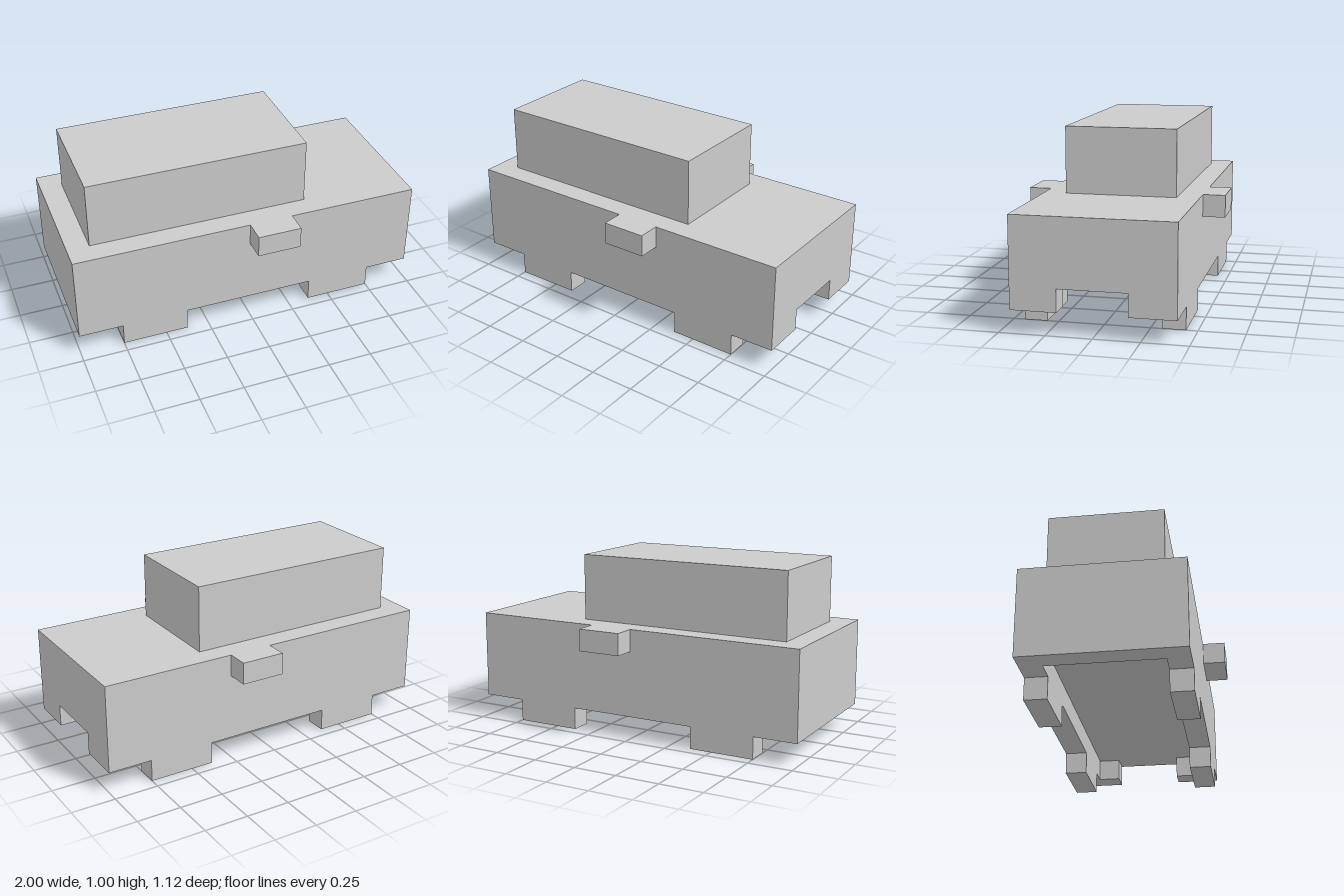
import * as THREE from 'three';

const U = 1 / 16; // the model sits on a grid of sixteenths

export function createModel() {
  const model = new THREE.Group();
  model.name = 'blockyCar';
  const material = new THREE.MeshStandardMaterial({ color: 0xcccccc, flatShading: true });

  const add = (name, geometry) => {
    const mesh = new THREE.Mesh(geometry, material);
    mesh.name = name;
    model.add(mesh);
    return mesh;
  };

  // Box from its min and max corners, in grid steps
  const box = (name, [x0, y0, z0], [x1, y1, z1]) => {
    const geometry = new THREE.BoxGeometry((x1 - x0) * U, (y1 - y0) * U, (z1 - z0) * U);
    geometry.translate((x0 + x1) / 2 * U, (y0 + y1) / 2 * U, (z0 + z1) / 2 * U);
    return add(name, geometry);
  };

  box('body', [-16, 4, -7], [16, 10, 7]);
  box('cabin', [-14, 10, -5], [6, 16, 5]);

  // Skirt around the hollow underside, with a gap in the +x end
  const outline = [
    [16, 3], [16, 7], [-16, 7], [-16, -7], [16, -7], [16, -3],
    [14, -3], [14, -5], [-14, -5], [-14, 5], [14, 5], [14, 3],
  ].map(([x, z]) => new THREE.Vector2(x * U, z * U));
  const skirt = new THREE.ExtrudeGeometry(new THREE.Shape(outline), { depth: 2 * U, bevelEnabled: false });
  skirt.rotateX(-Math.PI / 2).translate(0, 2 * U, 0);
  add('skirt', skirt);

  // Side mirrors and square wheels on both sides
  for (const [side, s] of [['Front', 1], ['Back', -1]]) {
    const span = (a, b) => (s > 0 ? [a, b] : [-b, -a]);
    const [m0, m1] = span(7, 9);
    box('mirror' + side, [0, 8, m0], [4, 10, m1]);
    const [w0, w1] = span(5, 7);
    box('wheelLeft' + side, [6, 0, w0], [12, 2, w1]);
    box('wheelRight' + side, [-12, 0, w0], [-6, 2, w1]);
  }

  return model;
}
